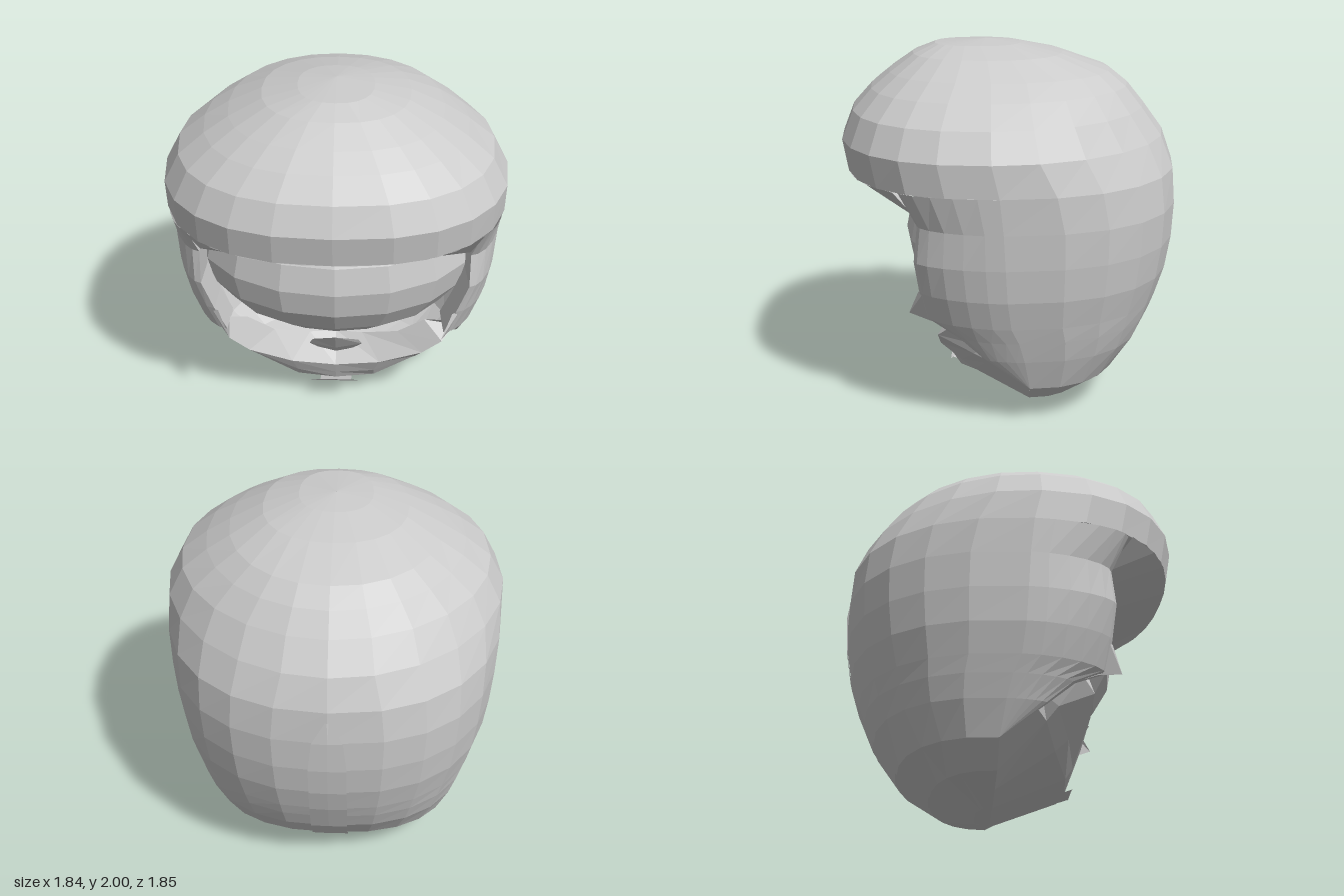
import * as THREE from 'three';

const mat = new THREE.MeshStandardMaterial({ color: 0xcccccc, flatShading: true, side: THREE.DoubleSide });

// Surface through rows of [x, y, z] points, all rows the same length
function loft(name, rows) {
  const n = rows[0].length, index = [];
  for (let r = 0; r < rows.length - 1; r++) {
    for (let i = 0; i < n - 1; i++) {
      const a = r * n + i, b = a + n;
      index.push(a, b, a + 1, a + 1, b, b + 1);
    }
  }
  const g = new THREE.BufferGeometry();
  g.setAttribute('position', new THREE.Float32BufferAttribute(rows.flat(2), 3));
  g.setIndex(index);
  g.computeVertexNormals();
  const mesh = new THREE.Mesh(g, mat);
  mesh.name = name;
  return mesh;
}

const flipX = (pts) => pts.map(([x, y, z]) => [-x, y, z]);
// Complete a half curve (outer end first, centre last) across x = 0
const mirrored = (half) => [...half, ...flipX(half.slice(0, -1).reverse())];

// Horizontal rounded section, from the front edge (xo, zf) round the back to its mirror
const ROUND = 2.4, STEPS = 6;
function section([y, w, zf, zb, zc, backRound, xo = 0]) {
  const half = [];
  for (let i = 0; i <= STEPS * 2; i++) {
    const front = i <= STEPS;
    const a = Math.PI / 2 - (i / STEPS) * (Math.PI / 2);
    const power = 2 / (front ? (xo ? 1.75 : ROUND) : backRound);
    const c = Math.pow(Math.max(0, Math.cos(a)), power);
    const s = Math.pow(Math.abs(Math.sin(a)), power);
    half.push(front
      ? [xo + (w - xo) * c, y, zc + (zf - zc) * s]
      : [w * c, y, zc + (zb - zc) * s]);
  }
  return mirrored(half);
}

export function createModel() {
  const model = new THREE.Group();
  model.name = 'helmet';

  // Closed upper dome: y, half width, front z, back z, centre z, squareness of the back
  const dome = [
    [2.0, 0.001, 0.131, 0.129, 0.13, 2.3], [1.98, 0.2, 0.41, -0.06, 0.16, 2.3], [1.93, 0.39, 0.53, -0.29, 0.12, 2.25],
    [1.84, 0.57, 0.66, -0.55, 0.1, 2.1], [1.76, 0.7, 0.76, -0.65, 0.1, 2.0], [1.65, 0.84, 0.86, -0.74, 0.1, 1.95],
    [1.5, 0.92, 0.92, -0.85, 0.1, 1.95], [1.33, 0.92, 0.89, -0.91, 0.06, 2.2],
  ];
  model.add(loft('dome', dome.map(section)));

  // Sides and back, open at the face: the last value is the half width of the opening
  const sides = [
    [1.33, 0.92, 0.57, -0.91, 0.06, 2.2, 0.77], [1.14, 0.905, 0.48, -0.92, 0.04, 2.35, 0.72],
    [0.95, 0.89, 0.5, -0.91, 0.03, 2.35, 0.72], [0.77, 0.865, 0.48, -0.88, 0.02, 2.35, 0.66],
    [0.61, 0.82, 0.45, -0.83, 0, 2.35, 0.6], [0.52, 0.79, 0.28, -0.795, -0.04, 2.35, 0.68],
    [0.4, 0.75, 0.14, -0.74, -0.07, 2.35, 0.7],
    [0.22, 0.68, -0.1, -0.61, -0.1, 2.35, 0.68], [0.1, 0.53, -0.1, -0.43, -0.1, 2.35, 0.53],
    [0.02, 0.17, -0.1, -0.18, -0.1, 2.35, 0.17], [0.01, 0.001, -0.1, -0.1, -0.1, 2.35, 0.001],
  ];
  model.add(loft('sideAndBackShell', sides.map(section)));

  // Sloping underside of the brim, from its front lip back to the face
  const lip = [], browLine = [];
  for (let i = -5; i <= 5; i++) {
    const t = i / 5, x = 0.77 * t;
    lip.push([x, 1.33, 0.06 + 0.83 * Math.pow(1 - Math.pow(Math.abs(x) / 0.92, ROUND), 1 / ROUND)]);
    browLine.push([0.72 * t, 1.14, 0.55 - 0.1 * t * t]);
  }
  model.add(loft('brimUnderside', [lip, browLine]));

  // Inner lip of the face opening
  const edge = sides.slice(1, 5).map(([y, , z, , , , x]) => [x, y, z]);
  const inner = edge.map(([x, y, z]) => [x - 0.01, y, z - 0.2]);
  model.add(loft('openingLipLeft', [edge, inner]));
  model.add(loft('openingLipRight', [flipX(edge), flipX(inner)]));

  // Rounded face inside the opening
  const face = new THREE.Mesh(new THREE.SphereGeometry(1, 16, 10), mat);
  face.name = 'face';
  face.scale.set(0.78, 0.5, 0.585);
  face.position.y = 0.93;
  model.add(face);

  // Chin strap: inner floor, undercut front band and the underside running back to the base
  const floorBack = mirrored([[0.6, 0.62, 0.35], [0.5, 0.6, 0.32], [0.35, 0.5, 0.3], [0.15, 0.45, 0.25], [0, 0.44, 0.22]]);
  const strapTop = mirrored([[0.67, 0.57, 0.32], [0.6, 0.5, 0.39], [0.49, 0.41, 0.38], [0.25, 0.32, 0.36], [0, 0.29, 0.35]]);
  const strapLow = mirrored([[0.69, 0.46, 0.11], [0.64, 0.41, 0.2], [0.46, 0.3, 0.27], [0.22, 0.23, 0.32], [0, 0.21, 0.32]]);
  const chinLow = mirrored([[0.69, 0.37, 0.09], [0.61, 0.34, 0.14], [0.45, 0.24, 0.2], [0.22, 0.17, 0.28], [0, 0.16, 0.3]]);
  const base = mirrored([[0.675, 0.22, -0.1], [0.53, 0.1, -0.1], [0.35, 0.06, -0.1], [0.17, 0.02, -0.1], [0, 0.01, -0.1]]);
  model.add(loft('chinFloor', [floorBack, strapTop]));
  model.add(loft('chinStrap', [strapTop, strapLow, chinLow]));
  model.add(loft('chinUnderside', [chinLow, base]));

  // Pointed cheek tips where the strap meets the opening
  const tip = [[0.64, 0.76, 0.485], [0.58, 0.62, 0.54], [0.67, 0.57, 0.33]];
  const tipBack = [[0.68, 0.76, 0.46], [0.63, 0.6, 0.43], [0.69, 0.52, 0.27]];
  model.add(loft('cheekTipLeft', [tip, tipBack]));
  model.add(loft('cheekTipRight', [flipX(tip), flipX(tipBack)]));

  // Overhanging pointed chin piece
  model.add(loft('chinPoint', [
    mirrored([[0.13, 0.48, 0.36], [0, 0.56, 0.45]]),
    mirrored([[0.15, 0.43, 0.33], [0, 0.42, 0.36]]),
    mirrored([[0.08, 0.35, 0.28], [0, 0.34, 0.29]]),
  ]));

  // Raised seam strip down the back, under the base and up to the chin tab: y, z, half width
  const seam = [
    [1.27, -0.914, 0.01], [1.14, -0.922, 0.08], [0.95, -0.912, 0.1], [0.77, -0.882, 0.1],
    [0.61, -0.833, 0.1], [0.4, -0.743, 0.1], [0.217, -0.613, 0.1], [0.096, -0.433, 0.1],
    [0.015, -0.182, 0.1], [0.004, -0.1, 0.09], [0.155, 0.33, 0.09], [0.17, 0.34, 0.15],
  ];
  model.add(loft('seamStrip', seam.map(([y, z, w]) => [[w, y, z], [0, y, z - 0.003], [-w, y, z]])));

  return model;
}
